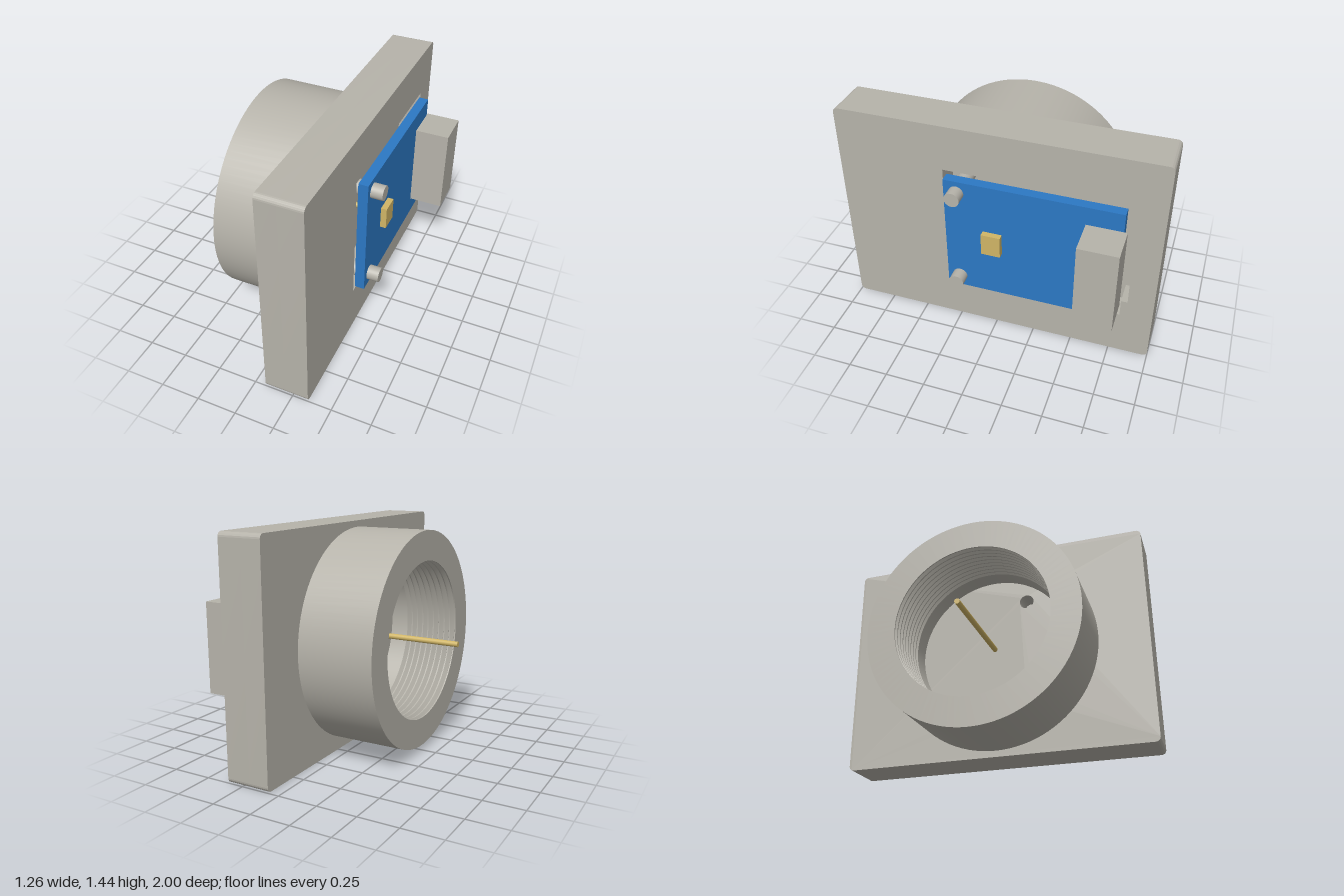
import * as THREE from 'three';
import { toCreasedNormals } from 'three/addons/utils/BufferGeometryUtils.js';

const CY = 0.72; // height of the housing axis

export function createModel() {
  const group = new THREE.Group();
  const grey = new THREE.MeshStandardMaterial({ color: 0xb6b3aa });
  const blue = new THREE.MeshStandardMaterial({ color: 0x2c78c4 });
  const gold = new THREE.MeshStandardMaterial({ color: 0xd0b566 });
  grey.name = 'grey housing';
  blue.name = 'blue board';
  gold.name = 'gold contact';

  const add = (name, geometry, material) => {
    const mesh = new THREE.Mesh(geometry, material);
    mesh.name = name;
    group.add(mesh);
    return mesh;
  };
  // box given by its limits on each axis
  const box = (name, material, [x0, x1], [y0, y1], [z0, z1]) =>
    add(name, new THREE.BoxGeometry(x1 - x0, y1 - y0, z1 - z0), material)
      .position.set((x0 + x1) / 2, (y0 + y1) / 2, (z0 + z1) / 2);
  // cylinder lying along x
  const rod = (name, material, r, x0, x1, y, z) =>
    add(name, new THREE.CylinderGeometry(r, r, x1 - x0, 32).rotateZ(Math.PI / 2), material)
      .position.set((x0 + x1) / 2, y, z);
  // outline drawn in (-z, y), extruded along x
  const slab = (name, shape, x0, x1) => {
    const g = new THREE.ExtrudeGeometry(shape, { depth: x1 - x0, bevelEnabled: false, curveSegments: 24 });
    g.rotateY(Math.PI / 2).translate(x0, 0, 0);
    add(name, toCreasedNormals(g, 0.6), grey);
  };
  const plateOutline = () => {
    const r = 0.03, h = Math.PI / 2, s = new THREE.Shape();
    s.absarc(1 - r, r, r, -h, 0);
    s.absarc(1 - r, 1.44 - r, r, 0, h);
    s.absarc(-1 + r, 1.44 - r, r, h, 2 * h);
    s.absarc(-1 + r, r, r, 2 * h, 3 * h);
    s.closePath();
    return s;
  };

  // mounting plate: rear layer with screw holes, front layer with the board pocket
  const screwZ = 0.22, screwY = [0.4, 1.04], pocketFloor = 0.2;
  const rear = plateOutline();
  for (const y of screwY) {
    rear.holes.push(new THREE.Path().absarc(-screwZ, y, 0.047, 0, Math.PI * 2, true));
  }
  slab('plateRear', rear, 0.07, pocketFloor);

  const front = plateOutline();
  front.holes.push(new THREE.Path([
    [-0.325, 0.305], [-0.325, 1.145], [0.8, 1.145], [0.8, 1.025],
    [0.84, 1.025], [0.84, 0.42], [0.8, 0.42], [0.8, 0.305],
  ].map(([u, v]) => new THREE.Vector2(u, v))));
  slab('plateFront', front, pocketFloor, 0.35);

  // round socket with a threaded bore
  const profile = [[0.68, -0.07], [0.68, 0.41], [0.495, 0.41]];
  const pitch = 0.04;
  for (let i = 0; i < 9; i++) {
    const y = 0.41 - i * pitch;
    profile.push([0.495, y - 0.008], [0.522, y - pitch / 2], [0.495, y - pitch]);
  }
  profile.push([0.495, -0.07]);
  const socket = new THREE.LatheGeometry(profile.map(([r, y]) => new THREE.Vector2(r, y)), 96);
  socket.rotateZ(Math.PI / 2).translate(0, CY, 0);
  add('threadedSocket', toCreasedNormals(socket, 0.5), grey);

  // circuit board with its parts
  box('circuitBoard', blue, [0.35, 0.412], [0.322, 1.122], [-0.78, 0.3]);
  box('connector', grey, [0.412, 0.63], [0.442, 1.002], [-0.8, -0.56]);
  box('chip', gold, [0.412, 0.45], [0.65, 0.795], [-0.06, 0.06]);
  for (const y of screwY) rod('screw', grey, 0.047, pocketFloor, 0.488, y + 0.003, screwZ);
  rod('centrePin', gold, 0.017, -0.632, 0.36, CY + 0.003, 0);

  return group;
}
